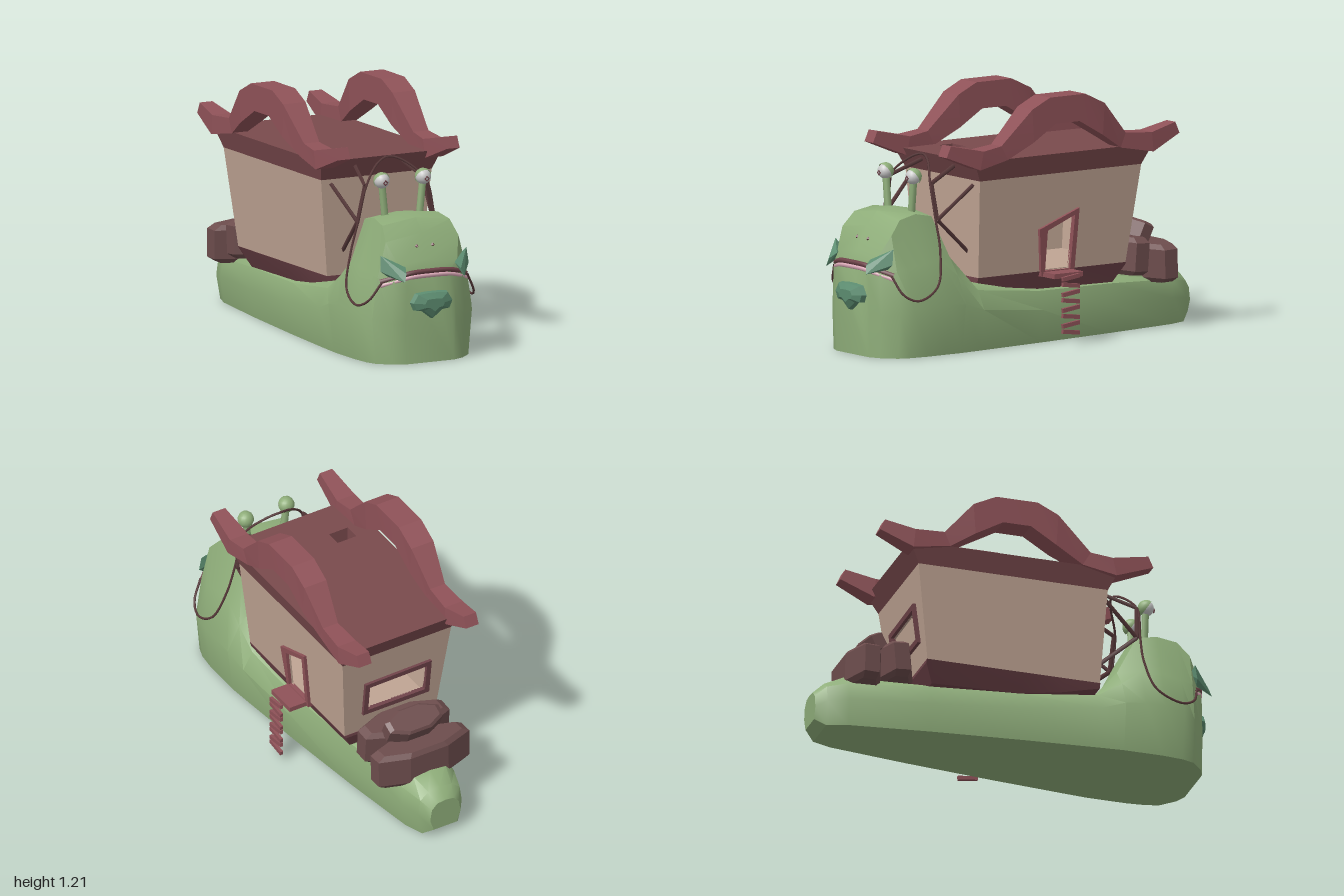
import * as THREE from 'three';
import { toCreasedNormals } from 'three/addons/utils/BufferGeometryUtils.js';
import { ConvexGeometry } from 'three/addons/geometries/ConvexGeometry.js';

const paint = (color) => new THREE.MeshStandardMaterial({ color, side: THREE.DoubleSide });
const M = {
  skin: paint(0x8fae7a), fin: paint(0x5c8c70), plaster: paint(0xbfa493), roof: paint(0x7a4a4d),
  beam: paint(0x8f5258), trim: paint(0x70444a), sack: paint(0x6d4d4d), rope: paint(0x593a3b),
  lip: paint(0xdcaab8), eye: paint(0xc4c2c4),
};
const V = (x, y, z) => new THREE.Vector3(x, y, z);
const lerp = THREE.MathUtils.lerp;

export function createModel() {
  const root = new THREE.Group();
  root.position.x = -0.016;

  const add = (name, geo, mat, pos = [0, 0, 0], parent = root) => {
    const mesh = new THREE.Mesh(geo, mat);
    mesh.name = name;
    mesh.position.set(...pos);
    parent.add(mesh);
    return mesh;
  };
  const crease = (geo, angle = 0.5) => toCreasedNormals(geo, angle);

  // Closed skin through rings of points, ordered front to back, each counter-clockwise from the front
  const loft = (rings, angle) => {
    const n = rings[0].length, index = [], last = (rings.length - 1) * n;
    for (let i = 0; i < rings.length - 1; i++) {
      for (let j = 0; j < n; j++) {
        const a = i * n + j, b = i * n + (j + 1) % n;
        index.push(a, a + n, b, b, a + n, b + n);
      }
    }
    for (let j = 1; j < n - 1; j++) index.push(0, j, j + 1, last, last + j + 1, last + j);
    const geo = new THREE.BufferGeometry().setFromPoints(rings.flat());
    geo.setIndex(index);
    return crease(geo, angle);
  };

  // Extruded outline with an optional hole, its vertices moved by place(u, v, w)
  const panel = (outer, hole, depth, place) => {
    const shape = new THREE.Shape(outer.map(([x, y]) => new THREE.Vector2(x, y)));
    if (hole) shape.holes.push(new THREE.Path(hole.map(([x, y]) => new THREE.Vector2(x, y))));
    const geo = new THREE.ExtrudeGeometry(shape, { depth, bevelEnabled: false });
    const p = geo.attributes.position;
    for (let i = 0; i < p.count; i++) p.setXYZ(i, ...place(p.getX(i), p.getY(i), p.getZ(i)));
    geo.computeVertexNormals();
    return geo;
  };

  // Round bar between two points
  const rod = (name, a, b, r, mat, sides = 6) => {
    const d = b.clone().sub(a);
    const mesh = add(name, new THREE.CylinderGeometry(r, r, d.length(), sides), mat);
    mesh.position.copy(a).add(b).multiplyScalar(0.5);
    mesh.quaternion.setFromUnitVectors(V(0, 1, 0), d.normalize());
    return mesh;
  };

  // Snail body: z, then half-width and height of base, belly, shoulder and crown, then top height
  const body = [
    [0.945, 0.13, 0, 0.14, 0.2, 0.13, 0.38, 0.1, 0.44, 0.45],
    [0.92, 0.19, 0, 0.2, 0.2, 0.19, 0.4, 0.16, 0.48, 0.5],
    [0.86, 0.255, 0, 0.275, 0.22, 0.245, 0.42, 0.2, 0.59, 0.62],
    [0.8, 0.275, 0, 0.305, 0.24, 0.25, 0.43, 0.185, 0.66, 0.685],
    [0.7, 0.285, 0, 0.32, 0.25, 0.255, 0.45, 0.175, 0.68, 0.7],
    [0.6, 0.285, 0, 0.32, 0.25, 0.25, 0.45, 0.17, 0.66, 0.68],
    [0.5, 0.285, 0, 0.315, 0.24, 0.25, 0.37, 0.17, 0.46, 0.475],
    [0.38, 0.275, 0, 0.3, 0.2, 0.25, 0.29, 0.15, 0.32, 0.33],
    [0, 0.24, 0, 0.265, 0.16, 0.23, 0.25, 0.14, 0.285, 0.29],
    [-0.45, 0.19, 0, 0.21, 0.14, 0.185, 0.24, 0.12, 0.275, 0.285],
    [-0.85, 0.135, 0, 0.155, 0.13, 0.14, 0.22, 0.09, 0.275, 0.285],
    [-0.95, 0.1, 0, 0.122, 0.12, 0.11, 0.2, 0.065, 0.235, 0.245],
    [-1, 0.065, 0.04, 0.085, 0.1, 0.075, 0.16, 0.045, 0.19, 0.195],
  ];
  add('body', loft(body.map(([z, ...s]) => {
    const half = [0, 2, 4, 6].map((k) => V(s[k], s[k + 1], z));
    return [...half, V(0, s[8], z), ...half.map((p) => V(-p.x, p.y, z)).reverse()];
  }), 0.65), M.skin);

  // Mouth: dark upper lip with a pink one under it
  const mouth = (name, dy, r, mat) => add(name, new THREE.TubeGeometry(new THREE.CatmullRomCurve3([
    V(-0.235, 0.395 + dy, 0.87), V(-0.17, 0.42 + dy, 0.92), V(-0.1, 0.437 + dy, 0.942), V(0, 0.44 + dy, 0.945),
    V(0.1, 0.437 + dy, 0.942), V(0.17, 0.42 + dy, 0.92), V(0.235, 0.395 + dy, 0.87),
  ]), 24, r, 6), mat);
  mouth('upperLip', 0.007, 0.012, M.trim);
  mouth('lowerLip', -0.014, 0.011, M.lip);

  // Chin tuft
  const tuft = [[-0.118, 0.3], [-0.09, 0.345], [-0.03, 0.35], [0.03, 0.35], [0.09, 0.345], [0.118, 0.3],
    [0.1, 0.26], [0.055, 0.255], [0, 0.213], [-0.055, 0.255], [-0.1, 0.26]];
  add('chinTuft', crease(loft([[0.99, 0.45], [0.97, 0.9], [0.935, 1]].map(([z, k]) =>
    tuft.map(([x, y]) => V(-x * k, 0.29 + (y - 0.29) * k, z)).reverse().map((p) => V(-p.x, p.y, p.z)).reverse()), 0.3), 0.3), M.fin);

  for (const s of [-1, 1]) {
    // Cheek fins, nostrils
    add('cheekFin', new ConvexGeometry([[0.135, 0.475, 0.94], [0.15, 0.45, 0.975], [0.163, 0.41, 0.985],
      [0.236, 0.53, 0.875], [0.243, 0.455, 0.885], [0.21, 0.43, 0.89], [0.2, 0.49, 0.86]].map(([x, y, z]) => V(s * x, y, z))), M.fin);
    add('nostril', new THREE.OctahedronGeometry(0.012), M.trim, [s * 0.044, 0.56, 0.885]);

    // Eye stalk, ball, lid and iris
    rod('eyeStalk', V(s * 0.095, 0.67, 0.665), V(s * 0.112, 0.83, 0.665), 0.018, M.skin, 8);
    const eye = new THREE.Group();
    eye.name = 'eye';
    eye.position.set(s * 0.114, 0.852, 0.668);
    root.add(eye);
    add('eyeBall', new THREE.SphereGeometry(0.038, 14, 10), M.eye, [0, 0, 0], eye);
    add('eyeLid', new THREE.SphereGeometry(0.042, 12, 6, 0, Math.PI * 2, 0, Math.PI / 2), M.skin, [0, 0, 0], eye).rotation.x = -1;
    add('iris', new THREE.TorusGeometry(0.011, 0.004, 4, 4), M.trim, [0, -0.006, 0.038], eye);

    // Harness struts
    const low = V(s * 0.205, 0.645, 0.59), high = V(s * 0.17, 0.82, 0.6);
    for (const [a, b] of [[low, V(s * 0.25, 0.805, 0.41)], [low, V(s * 0.17, 0.47, 0.385)], [low, high], [high, V(s * 0.13, 0.89, 0.43)]]) {
      rod('strut', a, b, 0.011, M.rope, 4);
    }

    // Arched roof beam: upper z, y, lower z, y, half-width
    const arch = [
      [0.605, 1.02, 0.63, 0.965, 0.035], [0.42, 0.98, 0.44, 0.89, 0.05], [0.31, 0.995, 0.27, 0.925, 0.042],
      [0.14, 1.16, 0.13, 1, 0.062], [0.035, 1.21, 0, 1.08, 0.063], [-0.175, 1.21, -0.14, 1.08, 0.063],
      [-0.29, 1.155, -0.28, 1, 0.062], [-0.43, 0.995, -0.4, 0.925, 0.042], [-0.58, 0.985, -0.59, 0.89, 0.05],
      [-0.73, 1.02, -0.755, 0.965, 0.035],
    ];
    const cx = s * 0.301;
    add('roofBeam', loft(arch.map(([zt, yt, zb, yb, w]) =>
      [V(cx + w, yb, zb), V(cx + w, yt, zt), V(cx - w, yt, zt), V(cx - w, yb, zb)]), 0.1), M.beam);
  }

  // Reins, from one mouth corner over the harness to the other
  const rein = [[0.235, 0.4, 0.885], [0.29, 0.31, 0.85], [0.315, 0.28, 0.78], [0.305, 0.34, 0.66], [0.255, 0.5, 0.61],
    [0.21, 0.65, 0.605], [0.165, 0.82, 0.605], [0.07, 0.915, 0.55]];
  add('reins', new THREE.TubeGeometry(new THREE.CatmullRomCurve3([
    ...rein.map((p) => V(...p)), V(0, 0.937, 0.53), ...rein.map(([x, y, z]) => V(-x, y, z)).reverse(),
  ]), 90, 0.006, 5), M.rope);

  // House walls lean outward with height
  const up = (y) => (y - 0.35) / 0.48;
  const halfX = (y) => lerp(0.258, 0.305, up(y)), frontZ = (y) => lerp(0.385, 0.41, up(y)), backZ = (y) => lerp(-0.49, -0.55, up(y));
  const onFront = (u, y, w) => [u, y, frontZ(y) + w], onBack = (u, y, w) => [-u, y, backZ(y) - w];
  const onDoorSide = (u, y, w) => [halfX(y) + w, y, -u], onBlankSide = (u, y, w) => [-halfX(y) - w, y, u];
  const endWall = [[-0.258, 0.35], [0.258, 0.35], [0.305, 0.83], [-0.305, 0.83]];
  const sideWall = [[-0.385, 0.35], [0.49, 0.35], [0.55, 0.83], [-0.41, 0.83]];
  const doorHole = [[0, 0.352], [0.15, 0.352], [0.16, 0.615], [0.003, 0.55]];
  const windowHole = [[-0.145, 0.485], [0.175, 0.485], [0.175, 0.635], [-0.145, 0.63]];
  const inset = (place) => (u, y, w) => place(u, y, w - 0.01);
  add('frontWall', panel(endWall, null, 0.01, inset(onFront)), M.plaster);
  add('backWall', panel(endWall, windowHole, 0.01, inset(onBack)), M.plaster);
  add('doorWall', panel(sideWall, doorHole, 0.01, inset(onDoorSide)), M.plaster);
  add('blankWall', panel(sideWall.map(([u, y]) => [-u, y]).reverse(), null, 0.01, inset(onBlankSide)), M.plaster);
  add('doorFrame', panel([[-0.02, 0.325], [0.175, 0.325], [0.185, 0.648], [-0.045, 0.56]],
    doorHole, 0.026, inset(onDoorSide)), M.beam);
  add('windowFrame', panel([[-0.17, 0.46], [0.2, 0.46], [0.2, 0.662], [-0.17, 0.655]],
    windowHole, 0.026, inset(onBack)), M.trim);
  add('floor', new THREE.BoxGeometry(0.5, 0.008, 0.86), M.plaster, [0, 0.352, -0.05]);

  // House base, curved to sit on the back: z, top half-width, lower half-width, lower height
  add('houseBase', loft([[0.387, 0.26, 0.252, 0.325], [0.2, 0.26, 0.235, 0.285], [0, 0.26, 0.215, 0.258],
    [-0.45, 0.26, 0.205, 0.25], [-0.492, 0.26, 0.25, 0.335]].map(([z, t, b, y]) =>
    [V(b, y, z), V(t, 0.35, z), V(-t, 0.35, z), V(-b, y, z)]), 0.2), M.trim);

  // Roof slab with a smoke hole, flaring outward to the top
  add('roof', panel([[-0.305, -0.41], [0.305, -0.41], [0.305, 0.55], [-0.305, 0.55]],
    [[-0.22, -0.27], [-0.115, -0.27], [-0.115, -0.19], [-0.22, -0.19]], 0.1, (u, v, w) => {
      const flare = Math.abs(u) > 0.3 ? w / 0.1 : 0;
      return [u + Math.sign(u) * 0.028 * flare, 0.828 + w, -v - Math.sign(v) * 0.05 * flare];
    }), M.roof);

  // Doorstep and hanging ladder
  add('doorStep', new THREE.BoxGeometry(0.1, 0.024, 0.17), M.beam, [0.316, 0.336, -0.075]);
  for (let i = 0; i < 8; i++) {
    add('ladderRung', new THREE.BoxGeometry(0.016, 0.02, 0.1), M.beam, [0.387, 0.063 + i * 0.038, -0.07])
      .rotation.x = i % 2 ? 0.13 : -0.13;
  }

  // Travel packs stacked on the tail: half sizes, position, tilt
  const profile = [[0, -1], [0.85, -1], [1, -0.75], [1, 0.75], [0.85, 1], [0, 1]].map(([x, y]) => new THREE.Vector2(x, y));
  for (const [hx, hy, hz, y, z, tilt] of [[0.235, 0.092, 0.092, 0.358, -0.608, -0.08],
    [0.255, 0.093, 0.09, 0.315, -0.766, 0.03], [0.15, 0.05, 0.07, 0.462, -0.695, -0.45]]) {
    const geo = new THREE.LatheGeometry(profile, 8).rotateY(Math.PI / 8).scale(hx / 0.924, hy, hz / 0.924);
    add('travelPack', crease(geo, 0.2), M.sack, [0, y, z]).rotation.x = tilt;
  }

  return root;
}
